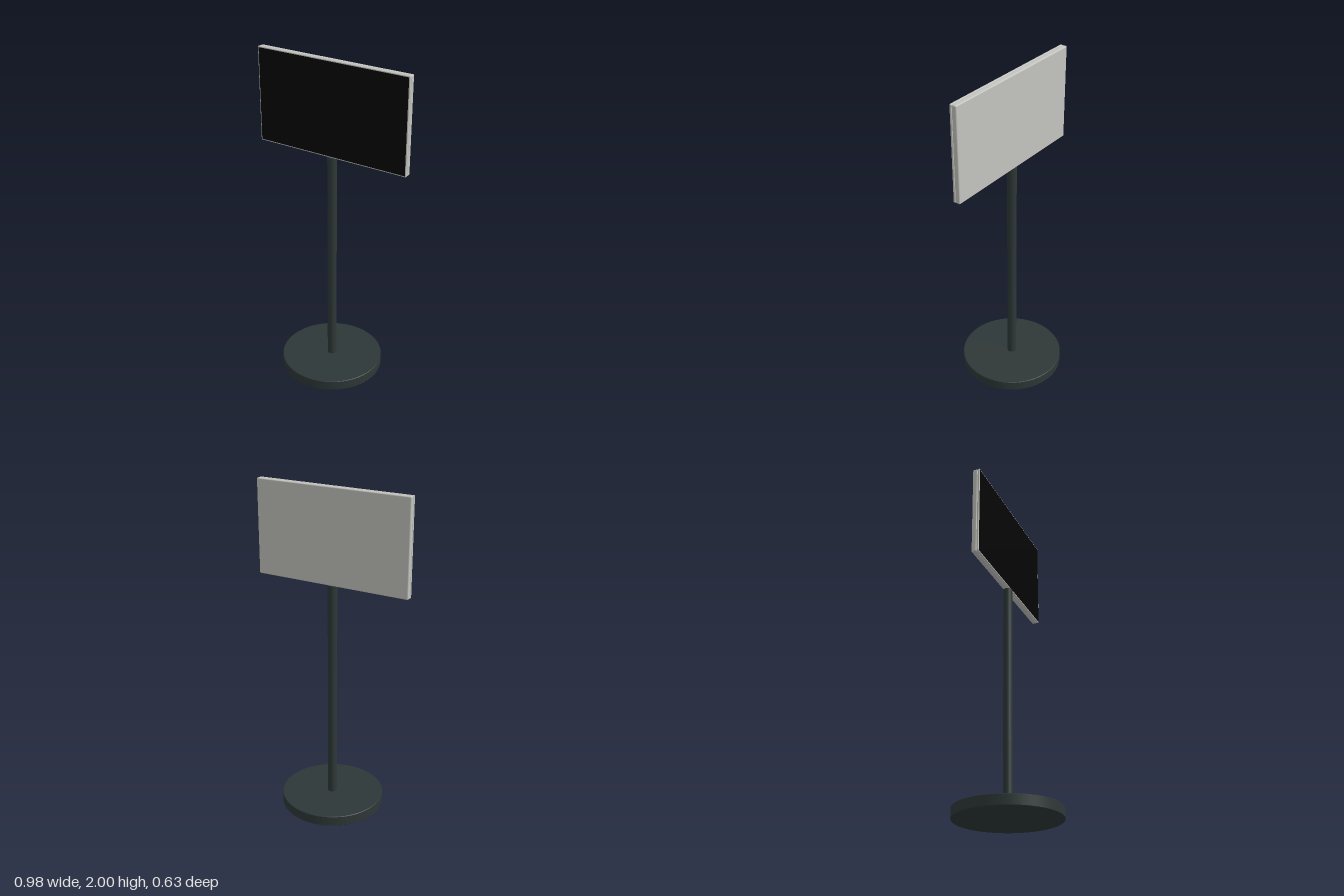
import * as THREE from 'three';
import { RoundedBoxGeometry } from 'three/addons/geometries/RoundedBoxGeometry.js';

const material = (name, color) => {
  const m = new THREE.MeshStandardMaterial({ color });
  m.name = name;
  return m;
};

export function createModel() {
  const group = new THREE.Group();
  group.name = 'displayStand';
  const dark = material('dark slate', 0x2e3737);
  const silver = material('silver grey', 0xc4c4c0);
  const black = material('screen black', 0x050505);

  const add = (name, geometry, mat, x, y, z) => {
    const mesh = new THREE.Mesh(geometry, mat);
    mesh.name = name;
    mesh.position.set(x, y, z);
    group.add(mesh);
  };

  // Round foot with a slightly softened rim
  const R = 0.314, H = 0.064, c = 0.003;
  const rim = [[0, 0], [R - c, 0], [R - c, 0], [R, c], [R, c], [R, H - c], [R, H - c], [R - c, H], [R - c, H], [0, H]]
    .map(([x, y]) => new THREE.Vector2(x, y));
  // Each pair of points is lathed separately so the edges stay crisp
  const foot = new THREE.Group();
  foot.name = 'base';
  for (let i = 0; i < rim.length; i += 2) {
    const part = new THREE.Mesh(new THREE.LatheGeometry([rim[i], rim[i + 1]], 96), dark);
    part.name = 'baseSurface';
    foot.add(part);
  }
  group.add(foot);

  // Pole
  add('pole', new THREE.CylinderGeometry(0.028, 0.028, 1.37, 40), dark, 0, 0.745, -0.001);

  // Panel housing: thicker rear shell and thin front frame with a seam between
  const W = 0.98, PH = 0.57, cy = 1.715;
  add('rearShell', new RoundedBoxGeometry(W, PH, 0.031, 4, 0.007), silver, 0, cy, -0.0095);
  add('frontFrame', new RoundedBoxGeometry(W, PH, 0.013, 4, 0.004), silver, 0, cy, 0.0125);

  // Screen
  add('screen', new THREE.BoxGeometry(0.966, 0.556, 0.002), black, 0, cy, 0.0188);
  return group;
}
